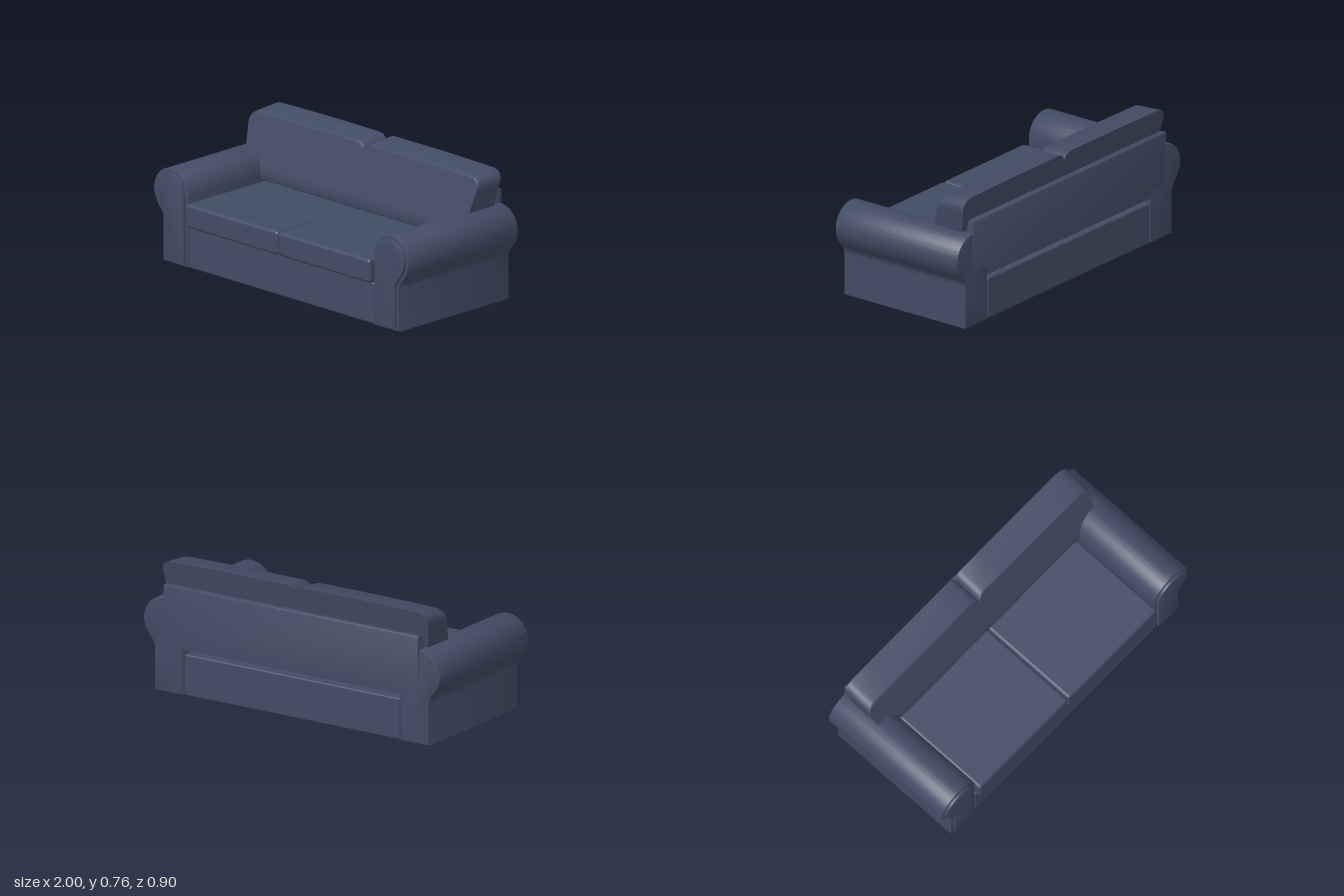
import * as THREE from 'three';
import { toCreasedNormals } from 'three/addons/utils/BufferGeometryUtils.js';
import { RoundedBoxGeometry } from 'three/addons/geometries/RoundedBoxGeometry.js';

const fabric = new THREE.MeshStandardMaterial({ color: 0x414b64 });
fabric.name = 'navy fabric';

function part(name, geometry, x = 0, y = 0, z = 0) {
  const mesh = new THREE.Mesh(geometry, fabric);
  mesh.name = name;
  mesh.position.set(x, y, z);
  return mesh;
}

// Rolled-arm outline, shrunk by an inset and mirrored by side (+1 left, -1 right)
function armOutline(inset, side) {
  const r = 0.135 - inset, x1 = 0.925 - inset;
  const ax = 0.865 + r * Math.cos(-Math.PI / 6), ay = 0.41 + r * Math.sin(-Math.PI / 6);
  const s = new THREE.Shape();
  s.moveTo(0.73 + inset, inset);
  s.lineTo(x1, inset);
  s.lineTo(x1, 0.24);
  s.bezierCurveTo(x1, 0.285, ax - 0.03, ay - 0.052, ax, ay);
  s.absarc(0.865, 0.41, r, -Math.PI / 6, Math.PI, false);
  s.closePath();
  return new THREE.Shape(s.getPoints(28).map(p => new THREE.Vector2(p.x * side, p.y)));
}

// Extrusion that stays inside its outline, with a small rounded edge
function extrude(shape, length, bevel) {
  const g = new THREE.ExtrudeGeometry(shape, {
    depth: length - 2 * bevel, bevelEnabled: true, bevelSize: bevel,
    bevelThickness: bevel, bevelOffset: -bevel, bevelSegments: 2, curveSegments: 10,
  });
  g.translate(0, 0, bevel);
  return toCreasedNormals(g, 0.6);
}

// Leaning back cushion lofted across x; column heights form the centre notch and round corners
function backCushionGeometry() {
  const half = [[0, 0.69], [0.004, 0.708], [0.012, 0.723], [0.028, 0.736], [0.05, 0.743],
    [0.2, 0.744], [0.45, 0.744], [0.7, 0.741], [0.84, 0.738], [0.865, 0.732],
    [0.885, 0.717], [0.896, 0.698], [0.9, 0.675]];
  const columns = [...half.slice(1).reverse().map(([x, y]) => [-x, y]), ...half];
  const rows = 16, bottom = 0.36, ring = 2 * rows;
  const pos = [], idx = [];

  const frontZ = y => {
    const k = THREE.MathUtils.clamp((0.46 - y) / 0.1, 0, 1);
    return -0.18 - 0.3 * (y - 0.545) - 0.07 * (1 - Math.sqrt(1 - k * k));
  };
  const backZ = y => -0.375 - 0.195 * (y - 0.545);

  for (const [x, top] of columns) {
    for (let i = 0; i < ring; i++) {
      const front = i < rows;
      const row = front ? i : ring - 1 - i;
      const last = row === rows - 1;
      let y = last ? top : THREE.MathUtils.lerp(bottom, top - 0.008, row / (rows - 2));
      const z = front ? frontZ(y) - (last ? 0.008 : 0) : backZ(y);
      if (!front) y += 0.012 * (y - bottom) / (top - bottom);
      const narrowing = 1 - 0.18 * Math.max(0, 0.7 - y);
      pos.push(x * narrowing, y, z);
    }
  }
  for (let c = 0; c < columns.length - 1; c++) {
    for (let i = 0; i < ring; i++) {
      const j = (i + 1) % ring;
      const a = c * ring + i, d = c * ring + j;
      idx.push(a, a + ring, d + ring, a, d + ring, d);
    }
  }
  const end = (columns.length - 1) * ring;
  for (let i = 0; i < rows - 1; i++) {
    const q = [i, i + 1, ring - 2 - i, ring - 1 - i];
    idx.push(q[0], q[1], q[2], q[0], q[2], q[3]);
    idx.push(end + q[0], end + q[2], end + q[1], end + q[0], end + q[3], end + q[2]);
  }
  const g = new THREE.BufferGeometry();
  g.setAttribute('position', new THREE.Float32BufferAttribute(pos, 3));
  g.setIndex(idx);
  return toCreasedNormals(g, 0.6);
}

// Thin leaning back board, drawn from the side and swept across the width
function backBoardGeometry() {
  const s = new THREE.Shape();
  s.moveTo(0.36, 0.265);
  s.lineTo(0.438, 0.265);
  s.lineTo(0.452, 0.61);
  s.quadraticCurveTo(0.452, 0.625, 0.44, 0.625);
  s.lineTo(0.42, 0.625);
  s.quadraticCurveTo(0.408, 0.625, 0.405, 0.61);
  s.lineTo(0.36, 0.42);
  s.closePath();
  const g = extrude(s, 1.72, 0.004);
  g.translate(0, 0, -0.86);
  g.rotateY(Math.PI / 2);
  return g;
}

export function createModel() {
  const sofa = new THREE.Group();
  sofa.name = 'sofa';

  sofa.add(part('base', new RoundedBoxGeometry(1.455, 0.24, 0.86, 3, 0.01), 0, 0.12, -0.01));
  sofa.add(part('backBoard', backBoardGeometry()));
  sofa.add(part('backCushions', backCushionGeometry()));

  for (const side of [1, -1]) {
    const label = side > 0 ? 'left' : 'right';
    // Seat cushion
    sofa.add(part(label + 'SeatCushion',
      new RoundedBoxGeometry(0.722, 0.14, 0.8, 4, 0.02), side * 0.362, 0.31, 0.05));
    // Rolled arm with a raised front panel
    const arm = new THREE.Group();
    arm.name = label + 'Arm';
    arm.add(part('armBody', extrude(armOutline(0, side), 0.86, 0.006), 0, 0, -0.44));
    arm.add(part('armFrontPanel', extrude(armOutline(0.021, side), 0.025, 0.005), 0, 0, 0.411));
    sofa.add(arm);
  }
  return sofa;
}
